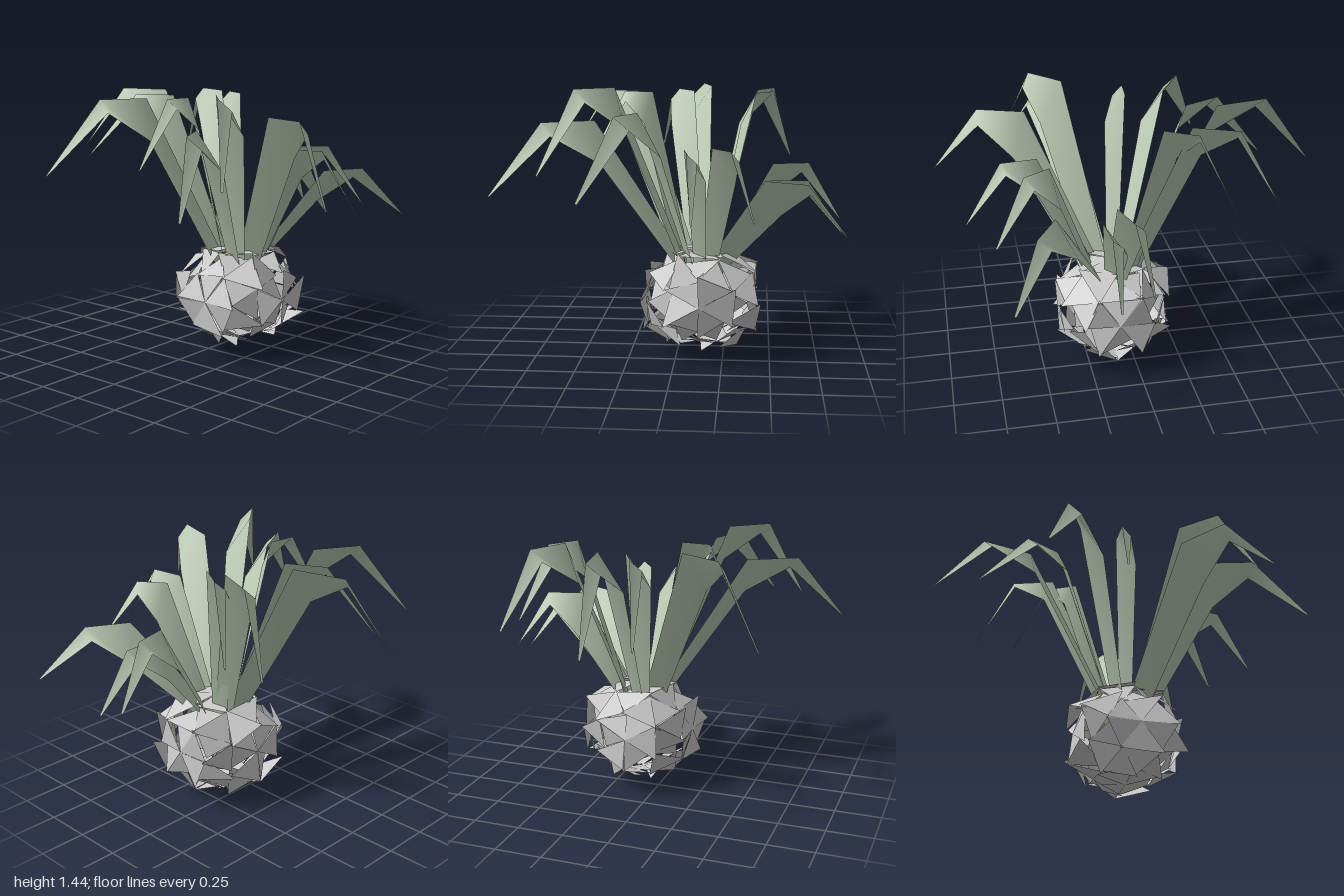
import * as THREE from 'three';

const CENTER = new THREE.Vector3(0.13, 0.32, 0.11);

// seeded random numbers in 0..1
function seeded(seed) {
  return () => {
    seed = (seed * 16807) % 2147483647;
    return seed / 2147483647;
  };
}

// Shell of loose, flared triangular scales
function createBulb(material) {
  const rand = seeded(71);
  const pos = new THREE.IcosahedronGeometry(1, 1).attributes.position;
  const out = [];
  for (let i = 0; i < pos.count; i += 3) {
    const corners = [0, 1, 2].map(k => new THREE.Vector3().fromBufferAttribute(pos, i + k));
    const mid = corners[0].clone().add(corners[1]).add(corners[2]).divideScalar(3);
    for (const c of corners) {
      // hubs on the main axes stay closed, all other corners flare
      const hub = Math.max(Math.abs(c.x), Math.abs(c.y), Math.abs(c.z)) > 0.99;
      if (hub) c.multiplyScalar(0.295);
      else c.sub(mid).multiplyScalar(1.08).add(mid).multiplyScalar(0.26 + 0.12 * rand());
      c.y *= 0.87;
      c.add(CENTER);
      out.push(c.x, c.y, c.z);
    }
  }
  // loose scale under the bulb
  out.push(0.13, 0, 0.1, 0.11, 0.07, -0.07, 0.25, 0.06, 0.02);
  const geo = new THREE.BufferGeometry();
  geo.setAttribute('position', new THREE.Float32BufferAttribute(out, 3));
  geo.computeVertexNormals();
  const mesh = new THREE.Mesh(geo, material);
  mesh.name = 'bulbScales';
  return mesh;
}

// Flat strip rolled about its length: one edge high, the other low
function createLeaf(bend, tip, size, material) {
  const [bx, by, bz] = bend;
  const dir = new THREE.Vector3(bx - CENTER.x, 0, bz - CENTER.z);
  const reach = dir.length();
  dir.normalize();
  const side = new THREE.Vector3(dir.z, 0, -dir.x);
  const at = (r, y) => new THREE.Vector3(CENTER.x + dir.x * r, y, CENTER.z + dir.z * r);
  // rows of high-edge point, then width, drop and outward shift of the low edge
  const rows = [
    [at(0.02, 0.12), 0.03, 0.01, 0],
    [at(0.08, 0.52), 0.08, 0.06, 0.04],
    [at(reach * 0.66, by), 0.13, 0.19, 0.01],
    [at(reach, by), 0.06, 0.06, -0.03],
    [new THREE.Vector3(...tip), 0.01, 0.005, 0],
  ];
  const verts = [], index = [];
  rows.forEach(([p, width, drop, shift], i) => {
    const high = p.clone().addScaledVector(side, -width * size / 2);
    const low = p.clone().addScaledVector(side, width * size / 2).addScaledVector(dir, shift * size);
    low.y -= drop * size;
    verts.push(...high.toArray(), ...low.toArray());
    const a = i * 2;
    if (i < rows.length - 1) index.push(a, a + 2, a + 1, a + 1, a + 2, a + 3);
  });
  const geo = new THREE.BufferGeometry();
  geo.setAttribute('position', new THREE.Float32BufferAttribute(verts, 3));
  geo.setIndex(index);
  geo.computeVertexNormals();
  return new THREE.Mesh(geo, material);
}

export function createModel() {
  const group = new THREE.Group();
  group.name = 'spikyPlant';
  const grey = new THREE.MeshStandardMaterial({ color: 0xcccccc, flatShading: true, side: THREE.DoubleSide });
  const green = new THREE.MeshStandardMaterial({ color: 0xbccab4, side: THREE.DoubleSide });

  group.add(createBulb(grey));

  // bend point, tip point, size factor
  const leaves = [
    [[0.07, 1.41, -0.72], [0.02, 1.03, -1.0], 1.05],
    [[-0.06, 1.39, -0.49], [-0.15, 1.02, -0.78], 1],
    [[0.49, 1.4, -0.48], [0.6, 1.02, -0.66], 1],
    [[0.49, 1.39, -0.28], [0.61, 1.02, -0.43], 0.95],
    [[0.69, 1.04, 0.06], [0.87, 0.73, 0.03], 1],
    [[0.69, 0.96, 0.17], [0.88, 0.67, 0.19], 0.95],
    [[0.69, 0.99, 0.53], [0.89, 0.72, 0.69], 1],
    [[0.32, 1.15, 0.56], [0.41, 0.83, 0.73], 0.95],
    [[0.11, 1.15, 0.67], [0.12, 0.84, 0.86], 0.85],
    [[-0.22, 1.33, 0.77], [-0.39, 0.96, 1.0], 1.1],
    [[-0.47, 1.44, 0.48], [-0.65, 1.03, 0.61], 1.1],
    [[-0.65, 1.27, 0.44], [-0.9, 0.92, 0.57], 1.1],
    [[-0.3, 1.4, -0.01], [-0.48, 1.05, -0.06], 0.85],
    [[-0.46, 1.39, -0.35], [-0.69, 1.0, -0.53], 1.1],
  ];
  leaves.forEach(([bend, tip, size], i) => {
    const leaf = createLeaf(bend, tip, size, green);
    leaf.name = `leaf${i + 1}`;
    group.add(leaf);
  });
  return group;
}
